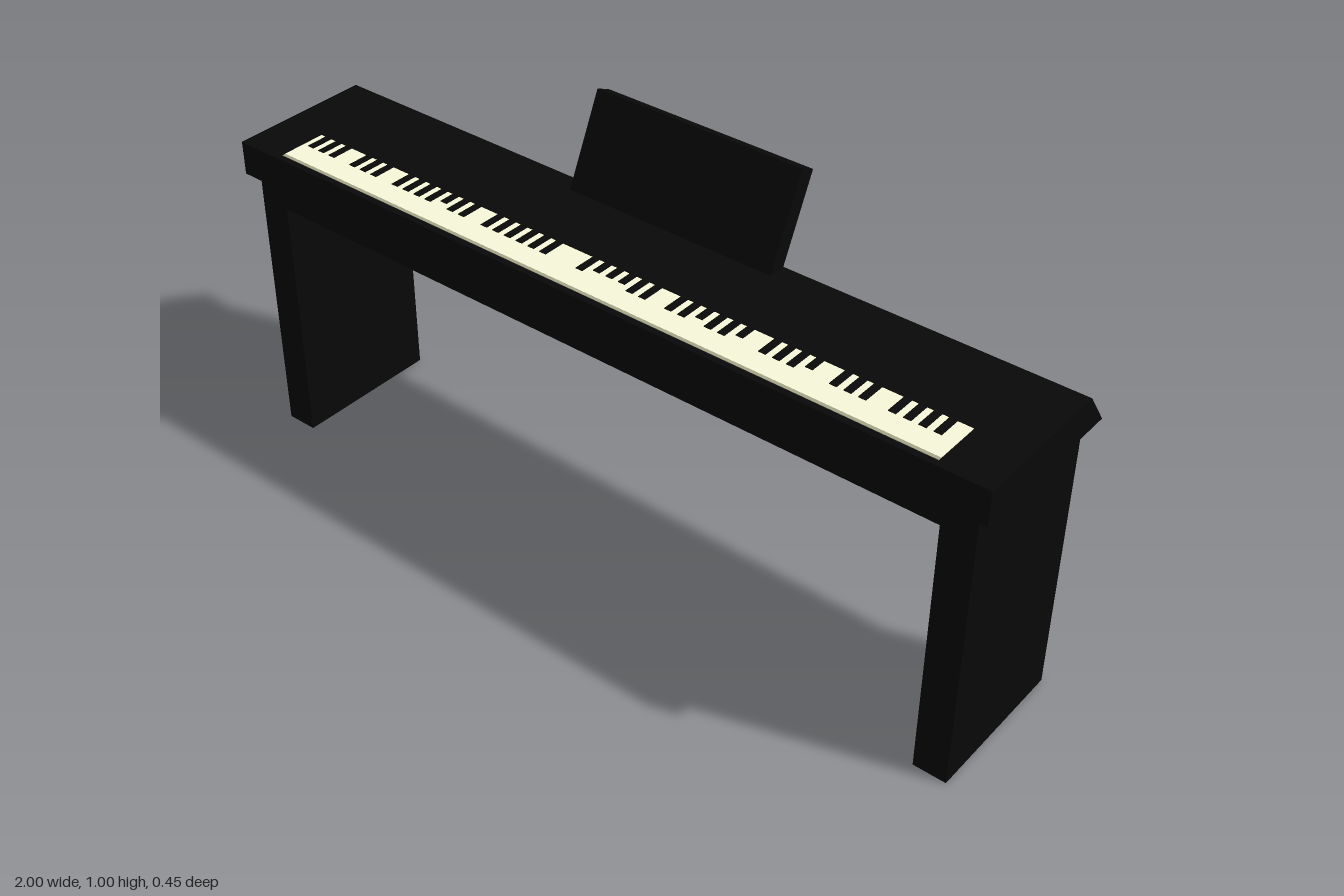
import * as THREE from 'three';

export function createModel() {
  const root = new THREE.Group();
  root.name = 'digitalPiano';
  const black = new THREE.MeshStandardMaterial({ color: 0x080808 });
  const ivory = new THREE.MeshStandardMaterial({ color: 0xfafadc });
  const edge = new THREE.MeshStandardMaterial({ color: 0xa8a88a });

  function add(name, geometry, material, parent = root) {
    const mesh = new THREE.Mesh(geometry, material);
    mesh.name = name;
    parent.add(mesh);
    return mesh;
  }

  // Box given by its lower and upper limits on each axis
  function box(name, [x0, x1], [y0, y1], [z0, z1], material, parent) {
    const mesh = add(name, new THREE.BoxGeometry(x1 - x0, y1 - y0, z1 - z0), material, parent);
    mesh.position.set((x0 + x1) / 2, (y0 + y1) / 2, (z0 + z1) / 2);
    return mesh;
  }

  // Side profile of [z, y] points, extruded symmetrically along x
  function profile(name, points, halfWidth) {
    const shape = new THREE.Shape(points.map(([z, y]) => new THREE.Vector2(-z, y)));
    const geometry = new THREE.ExtrudeGeometry(shape, { depth: halfWidth * 2, bevelEnabled: false });
    geometry.translate(0, 0, -halfWidth);
    geometry.rotateY(Math.PI / 2);
    return add(name, geometry, black);
  }

  // Case with a sloping back, and the leaning music rest
  profile('case', [[0.227, 0.705], [0.227, 0.789], [-0.135, 0.789], [-0.196, 0.705]], 1);
  profile('musicRest', [[-0.088, 0.785], [-0.188, 1], [-0.226, 0.983], [-0.134, 0.785]], 0.275);

  // Stand: two slab legs, back panel and the bed under the case
  for (const side of [-1, 1]) {
    const leg = box('leg', [-0.04, 0.04], [0, 0.705], [-0.174, 0.207], black);
    leg.position.x = side * 0.932;
  }
  box('backPanel', [-0.893, 0.893], [0.337, 0.65], [-0.174, -0.14], black);
  box('keyBed', [-0.893, 0.893], [0.64, 0.705], [-0.174, 0.207], black);

  // Keyboard: ivory bed with a darker front lip
  const keyboard = new THREE.Group();
  keyboard.name = 'keyboard';
  root.add(keyboard);
  box('whiteKeys', [-0.88, 0.877], [0.77, 0.7905], [0.09, 0.203], ivory, keyboard);
  box('keyFrontEdge', [-0.88, 0.877], [0.77, 0.79], [0.203, 0.211], edge, keyboard);

  // Black keys, one per slot except at the gaps; a few are shorter
  const pitch = 1.757 / 52;
  const gaps = new Set([3, 7, 15, 22, 23, 30, 37, 42, 46]);
  const short = new Set([12, 25, 26, 27, 33, 36, 41]);
  for (let i = 0; i < 51; i++) {
    if (gaps.has(i)) continue;
    const x = -0.88 + pitch * (i + 0.7);
    const front = short.has(i) ? 0.13 : 0.146;
    box('blackKey', [x - 0.009, x + 0.009], [0.77, 0.792], [0.088, front], black, keyboard);
  }
  return root;
}
